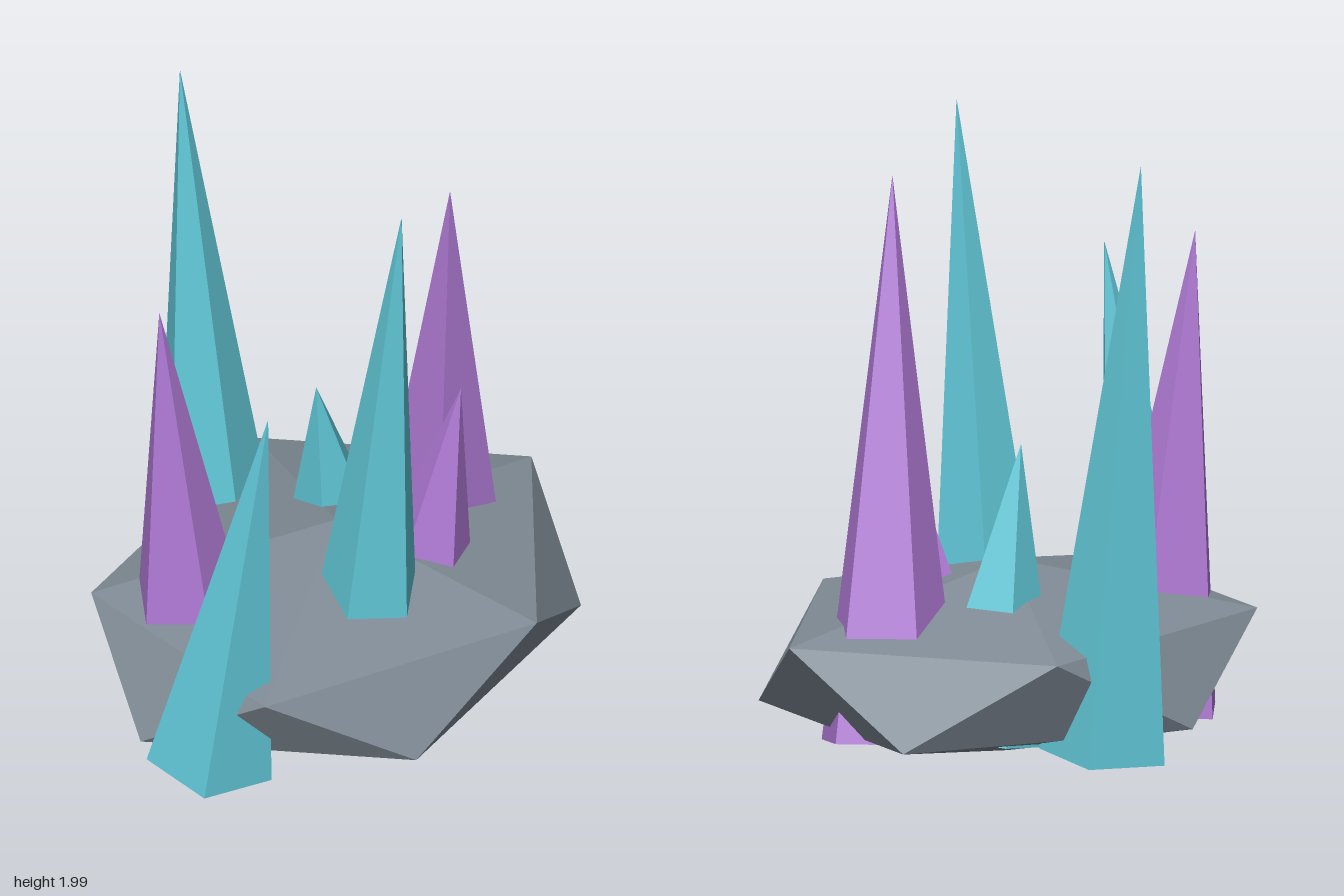
import * as THREE from 'three';

const material = (color) => new THREE.MeshStandardMaterial({ color, flatShading: true });

// Five-sided spike: base centre, tip, base radius, angle of one corner (degrees from +x towards +z)
function makeCrystal(name, mat, base, tip, radius, degrees) {
  const from = new THREE.Vector3(...base);
  const axis = new THREE.Vector3(...tip).sub(from);
  const height = axis.length();
  const geo = new THREE.ConeGeometry(radius, height, 5);
  geo.rotateY(Math.PI / 2 - THREE.MathUtils.degToRad(degrees)); // first corner on the given angle
  geo.translate(0, height / 2, 0);
  const mesh = new THREE.Mesh(geo, mat);
  mesh.name = name;
  mesh.position.copy(from);
  mesh.quaternion.setFromUnitVectors(new THREE.Vector3(0, 1, 0), axis.normalize());
  return mesh;
}

export function createModel() {
  const group = new THREE.Group();
  group.name = 'crystalCluster';
  const cyan = material(0x60c5d5);
  const purple = material(0xb07ad5);

  // Flattened icosahedron rock, one corner straight up
  const rockGeo = new THREE.IcosahedronGeometry(1, 0);
  rockGeo.rotateZ(-Math.atan(2 / (1 + Math.sqrt(5))));
  rockGeo.scale(0.906, 0.305, 0.752);
  const rock = new THREE.Mesh(rockGeo, material(0x7f8b95));
  rock.name = 'rockBase';
  rock.position.set(0, 0.305, 0.04);
  group.add(rock);

  // Crystals growing through the rock
  const crystals = [
    ['backCrystal', cyan, [-0.011, 0.11, -0.49], [-0.044, 1.99, -0.622], 0.21, -40],
    ['frontCrystal', cyan, [-0.085, 0.11, 0.25], [-0.045, 1.985, 0.388], 0.2, 14.5],
    ['rightOuterCrystal', cyan, [-0.653, 0.113, 0.188], [-0.573, 1.46, 0.36], 0.204, 66],
    ['smallCentreCrystal', cyan, [0.203, 0.11, -0.141], [0.05, 1.01, -0.105], 0.23, 1],
    ['rightCrystal', purple, [-0.443, 0.11, -0.114], [-0.578, 1.6, -0.13], 0.221, 180],
    ['leftCrystal', purple, [0.502, 0.12, -0.047], [0.298, 1.825, 0.232], 0.229, -11],
    ['smallFrontCrystal', purple, [0.168, 0.11, 0.18], [0.268, 1.13, 0.315], 0.223, 25.5],
  ];
  for (const c of crystals) group.add(makeCrystal(...c));

  return group;
}
